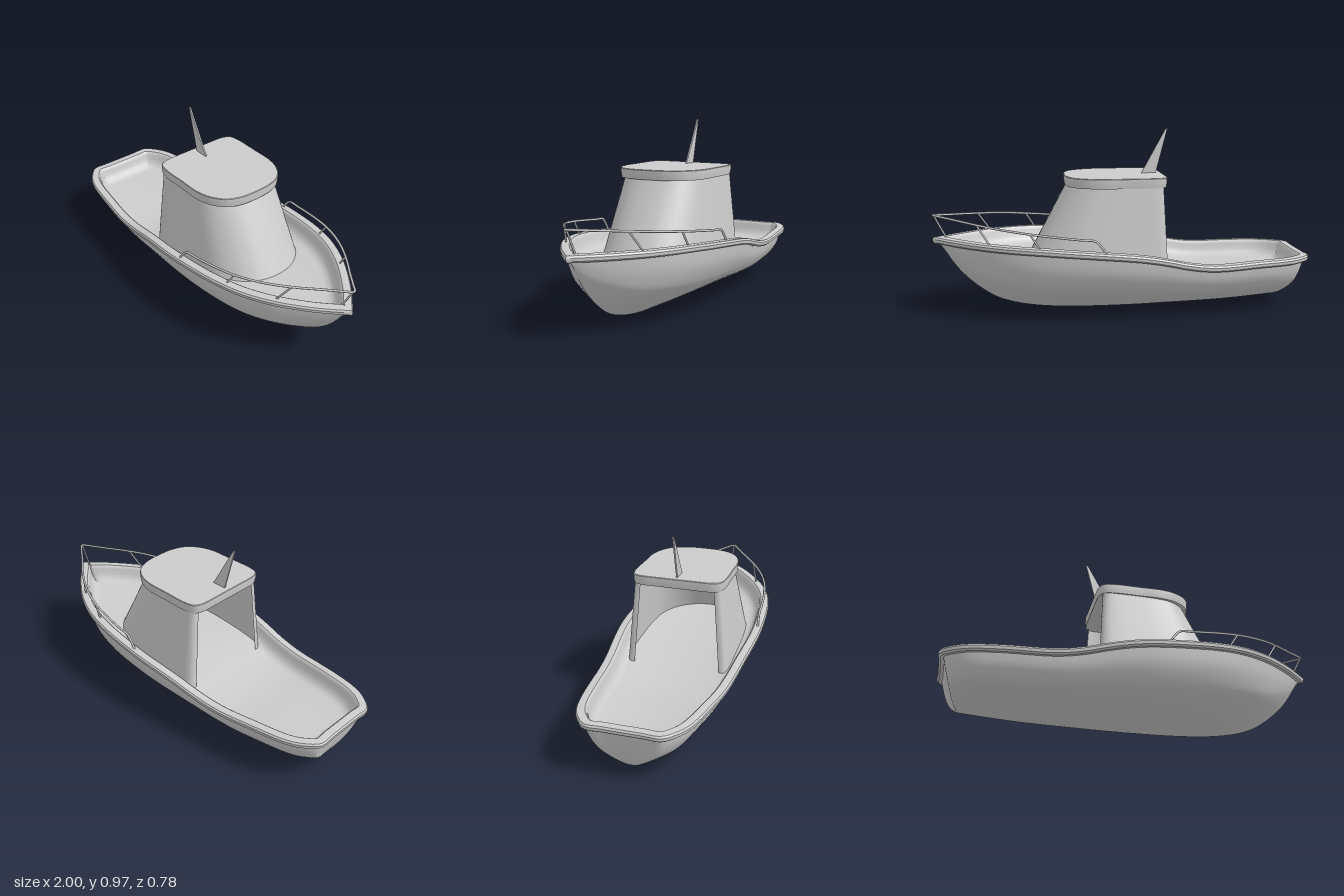
import * as THREE from 'three';
import { toCreasedNormals } from 'three/addons/utils/BufferGeometryUtils.js';

const grey = new THREE.MeshStandardMaterial({ color: 0xcccccc, side: THREE.DoubleSide });
const V = (x, y, z) => new THREE.Vector3(x, y, z);

// Smooth interpolation through [x, y] pairs
function table(pts) {
  const slope = i => {
    const a = pts[Math.max(i - 1, 0)], b = pts[Math.min(i + 1, pts.length - 1)];
    return (b[1] - a[1]) / (b[0] - a[0]);
  };
  return x => {
    let i = 0;
    while (i < pts.length - 2 && x > pts[i + 1][0]) i++;
    const [x0, y0] = pts[i], [x1, y1] = pts[i + 1], h = x1 - x0;
    const t = THREE.MathUtils.clamp((x - x0) / h, 0, 1), t2 = t * t, t3 = t2 * t;
    return y0 * (2 * t3 - 3 * t2 + 1) + y1 * (3 * t2 - 2 * t3)
      + h * (slope(i) * (t3 - 2 * t2 + t) + slope(i + 1) * (t3 - t2));
  };
}

// Skin a list of equal-length rings
function loft(rings, closed, crease = 0.6) {
  const n = rings[0].length, index = [];
  for (let j = 0; j < rings.length - 1; j++) {
    for (let i = 0; i < (closed ? n : n - 1); i++) {
      const k = (i + 1) % n, a = j * n + i, b = j * n + k, c = b + n, d = a + n;
      index.push(a, b, c, a, c, d);
    }
  }
  const geo = new THREE.BufferGeometry().setFromPoints(rings.flat());
  geo.setIndex(index);
  return toCreasedNormals(geo, crease);
}

function add(group, name, geo) {
  const mesh = new THREE.Mesh(geo, grey);
  mesh.name = name;
  group.add(mesh);
}

// Smooth plan curve for z >= 0, mirrored to the other side
function mirroredPlan(pts, count, closed) {
  const curve = new THREE.CatmullRomCurve3(pts.map(([x, z]) => V(x, 0, z)));
  const half = curve.getSpacedPoints(count);
  const back = half.slice(closed ? 1 : 0, -1).reverse().map(p => V(p.x, 0, -p.z));
  return [...half, ...back];
}

// Gunwale plan, sheer height and keel line
const side = [[-0.86, 0.285], [-0.6, 0.33], [-0.3, 0.36], [0, 0.387], [0.2, 0.382],
  [0.4, 0.36], [0.55, 0.322], [0.7, 0.25], [0.85, 0.142], [0.93, 0.07], [1, 0]];
const plan = [[-1, 0], [-1, 0.1], [-1, 0.185], [-0.94, 0.245], ...side];
const halfWidth = table(side);
const sheer = table([[-1, 0.295], [-0.7, 0.292], [-0.5, 0.285], [-0.4, 0.29], [-0.3, 0.306],
  [-0.2, 0.33], [-0.1, 0.35], [0, 0.364], [0.2, 0.382], [0.5, 0.402], [1, 0.412]]);
const keelX = table([[-1, -0.87], [-0.8, -0.74], [-0.5, -0.5], [0.4, 0.4], [0.6, 0.57],
  [0.75, 0.7], [0.9, 0.84], [1, 0.945]]);
const keelY = table([[-0.87, 0.035], [-0.6, 0.015], [-0.3, 0.005], [0, 0], [0.3, 0.005],
  [0.5, 0.025], [0.65, 0.065], [0.75, 0.125], [0.85, 0.215], [0.92, 0.31], [0.945, 0.365]]);
const deckDrop = 0.09;

function buildHull(group) {
  const outline = mirroredPlan(plan, 90, true), n = outline.length;
  // Offset the outline inwards and drop it below the sheer
  const offset = (inset, dy) => outline.map((p, i) => {
    const t = outline[(i + 1) % n].clone().sub(outline[(i + n - 1) % n]).normalize();
    let z = p.z - inset * t.x;
    if (z * p.z <= 0) z = 0;
    return V(p.x + inset * t.z, sheer(p.x) + dy, z);
  });

  // Hull skin from keel to gunwale, including the raked transom
  const top = offset(0.028, -0.036);
  const section = new THREE.SplineCurve([[0, 0], [0.28, 0.14], [0.56, 0.3], [0.76, 0.44],
    [0.86, 0.56], [0.96, 0.77], [1, 1]].map(p => new THREE.Vector2(...p))).getPoints(18);
  const hullRings = section.map(s => top.map((p, i) => {
    const kx = keelX(outline[i].x), ky = keelY(kx);
    const lean = Math.pow(Math.max(s.y, 0), outline[i].x < -0.5 ? 0.5 : 1);
    return V(kx + (p.x - kx) * lean, ky + (p.y - ky) * s.y, p.z * s.x);
  }));
  add(group, 'hull', loft(hullRings, true, 0.8));

  // Rolled gunwale
  const rim = [[0.028, -0.036], [0.012, -0.036], [0.002, -0.028], [0, -0.012], [0.006, -0.002],
    [0.015, 0], [0.044, 0]].map(p => offset(...p));
  add(group, 'gunwale', loft(rim, true));

  // Inner bulwark flowing into the deck
  const inner = [[0.044, 0], [0.052, -0.006], [0.056, -0.02], [0.062, -0.045], [0.072, -0.068],
    [0.088, -0.084], [0.11, -deckDrop]].map(p => offset(...p));
  const centre = inner[inner.length - 1].map(p => V(p.x, p.y, 0));
  add(group, 'deck', loft([...inner, centre], true, 0.8));
}

function buildCabin(group) {
  // Walls open at the back, with short returns at the aft corners
  const wall = mirroredPlan([[0, 0.84], [0, 0.92], [0.02, 0.98], [0.07, 1], [0.35, 1], [0.55, 0.98],
    [0.72, 0.92], [0.86, 0.74], [0.95, 0.48], [0.99, 0.22], [1, 0]], 48, false);
  const rings = [];
  for (let j = 0; j <= 6; j++) {
    const t = j / 6;
    rings.push(wall.map(p => {
      const x0 = -0.215 + 0.71 * p.x, x1 = -0.195 + 0.487 * p.x;
      const y0 = sheer(x0) - deckDrop - 0.005;
      return V(x0 + (x1 - x0) * t, y0 + (0.685 - y0) * t, p.z * (0.278 - 0.043 * t));
    }));
  }
  add(group, 'cabinWalls', loft(rings, false));

  // Roof slab
  const roof = mirroredPlan([[-0.22, 0], [-0.22, 0.1], [-0.218, 0.19], [-0.2, 0.23], [-0.15, 0.245],
    [0, 0.245], [0.12, 0.243], [0.2, 0.22], [0.265, 0.17], [0.298, 0.09], [0.305, 0]], 48, true);
  const ring = (y, s, w = s) => roof.map(p => V(0.042 + (p.x - 0.042) * s, y, p.z * w));
  add(group, 'cabinRoof', loft([ring(0.68, 0.985, 0), ring(0.68, 0.985), ring(0.705, 1),
    ring(0.728, 1), ring(0.731, 0.99), ring(0.731, 0.99, 0)], true));

  // Raked fin mast
  const fin = new THREE.Shape([[-0.19, 0.725], [-0.11, 0.725], [-0.243, 0.965], [-0.254, 0.97]]
    .map(p => new THREE.Vector2(...p)));
  const finGeo = new THREE.ExtrudeGeometry(fin, { depth: 0.008, bevelEnabled: false });
  add(group, 'mast', finGeo.translate(0, 0, -0.004));
}

function buildRail(group) {
  const tube = (pts, r, steps) =>
    new THREE.TubeGeometry(new THREE.CatmullRomCurve3(pts), steps, r, 8);
  const railY = x => 0.435 + (x - 0.17) * 0.112;
  const railZ = x => halfWidth(x) - 0.026 * Math.min(1, (1 - x) / 0.1);

  // Bow rail running round both sides
  const half = [V(0.12, 0.37, railZ(0.12)), V(0.145, 0.405, railZ(0.145))];
  for (const x of [0.175, 0.25, 0.4, 0.5, 0.6, 0.7, 0.8, 0.88, 0.95]) {
    half.push(V(x, railY(x), railZ(x)));
  }
  const mirrored = half.map(p => V(p.x, p.y, -p.z)).reverse();
  add(group, 'bowRail', tube([...half, V(0.992, railY(0.992), 0), ...mirrored], 0.006, 160));

  // Leaning posts
  for (const s of [1, -1]) {
    for (const [x0, x1] of [[0.45, 0.5], [0.7, 0.765]]) {
      add(group, 'railPost', tube([V(x0, sheer(x0) - 0.005, s * (halfWidth(x0) - 0.032)),
        V(x1, railY(x1), s * railZ(x1))], 0.005, 2));
    }
  }
  add(group, 'bowPost', tube([V(0.925, 0.4, 0), V(0.99, railY(0.99), 0)], 0.005, 2));
}

export function createModel() {
  const boat = new THREE.Group();
  boat.name = 'boat';
  for (const [name, build] of [['hullGroup', buildHull], ['cabin', buildCabin], ['rail', buildRail]]) {
    const part = new THREE.Group();
    part.name = name;
    build(part);
    boat.add(part);
  }
  return boat;
}
